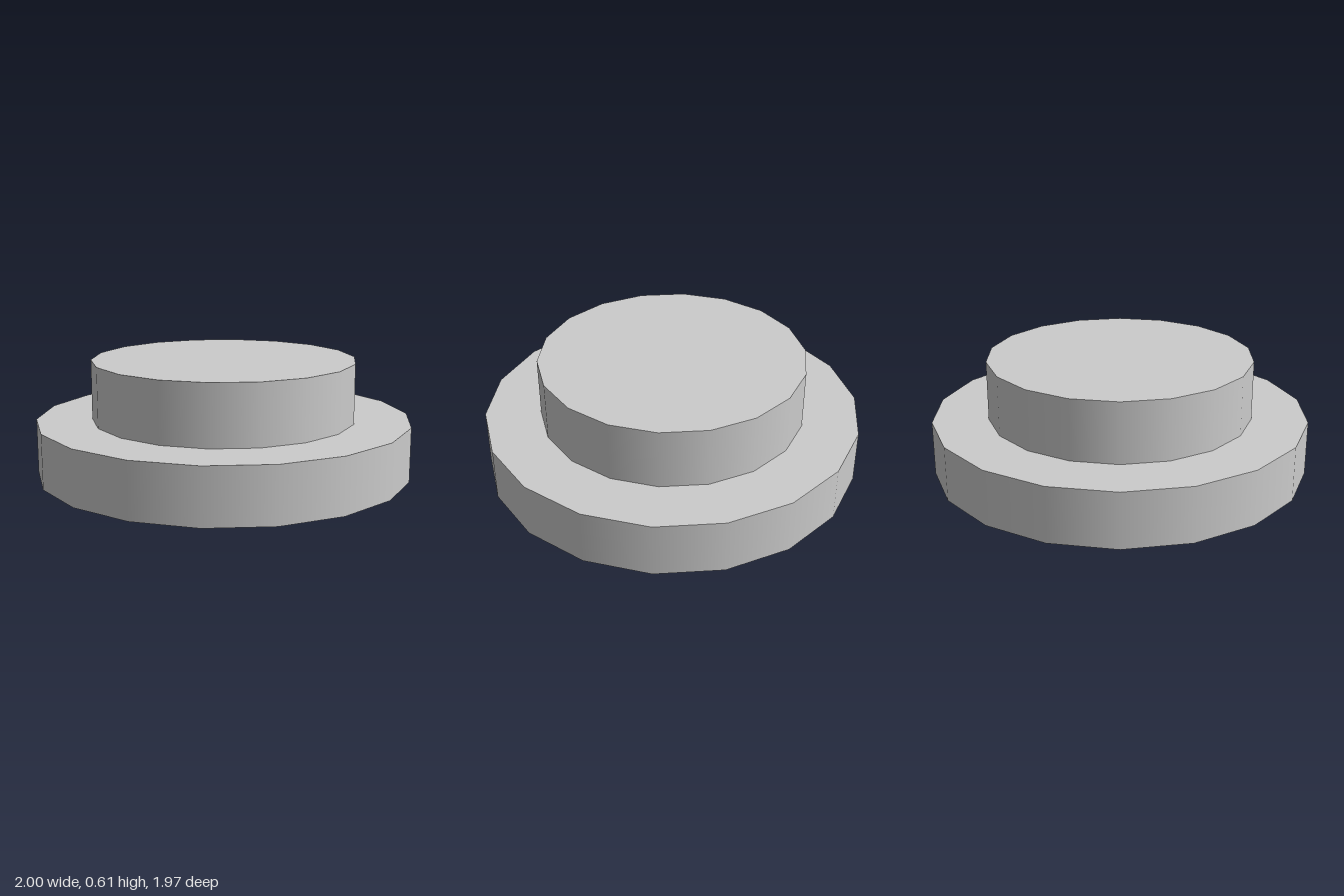
import * as THREE from 'three';

const SIDES = 18;

// Open-bottomed cap: a smooth-shaded skirt with a flat lid
function makeCap(name, radius, bottom, top, lidName, wallName) {
  const material = new THREE.MeshStandardMaterial({ color: 0xcccccc, side: THREE.DoubleSide });
  const cap = new THREE.Group();
  cap.name = name;

  // Skirt, with corners starting on the x axis
  const wall = new THREE.Mesh(
    new THREE.CylinderGeometry(radius, radius, top - bottom, SIDES, 1, true, Math.PI / 2),
    material
  );
  wall.name = wallName;
  wall.position.y = (bottom + top) / 2;

  // Lid
  const lid = new THREE.Mesh(new THREE.CircleGeometry(radius, SIDES).rotateX(-Math.PI / 2), material);
  lid.name = lidName;
  lid.position.y = top;

  cap.add(wall, lid);
  return cap;
}

export function createModel() {
  const model = new THREE.Group();
  model.name = 'steppedDisc';
  model.add(makeCap('base', 1, 0, 0.29, 'baseLid', 'baseWall'));
  // The upper step dips slightly through the base lid
  model.add(makeCap('upperStep', 0.704, 0.26, 0.607, 'upperLid', 'upperWall'));
  return model;
}
